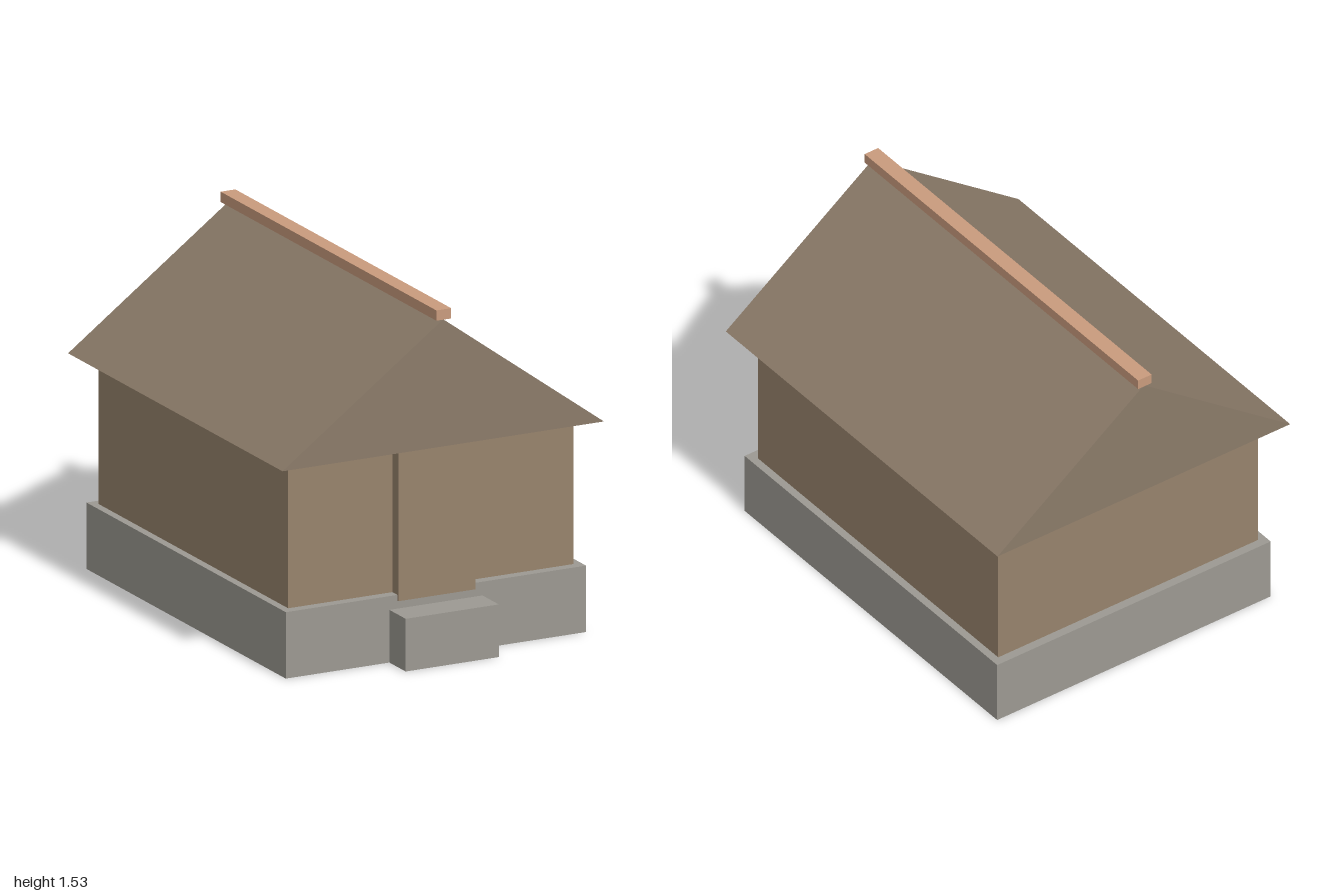
import * as THREE from 'three';

const material = (color) => new THREE.MeshStandardMaterial({ color, flatShading: true });
const stone = material(0x9c9992);
const timber = material(0x97836c);
const roofing = material(0x8b7b69);
const ridgeWood = material(0xc99b7d);

// Box centred on x = 0, given its width and its y and z ranges
function block(name, width, [y0, y1], [z0, z1], mat) {
  const mesh = new THREE.Mesh(new THREE.BoxGeometry(width, y1 - y0, z1 - z0), mat);
  mesh.position.set(0, (y0 + y1) / 2, (z0 + z1) / 2);
  mesh.name = name;
  return mesh;
}

// Solid triangular roof with overhanging eaves
function gableRoof() {
  const gable = new THREE.Shape([
    new THREE.Vector2(-0.76, 0.93),
    new THREE.Vector2(0.76, 0.93),
    new THREE.Vector2(0, 1.485),
  ]);
  const mesh = new THREE.Mesh(
    new THREE.ExtrudeGeometry(gable, { depth: 1.91, bevelEnabled: false }), roofing);
  mesh.position.z = -0.99;
  mesh.name = 'roof';
  return mesh;
}

export function createModel() {
  const house = new THREE.Group();
  house.name = 'house';
  house.add(
    block('foundation', 1.42, [0, 0.29], [-0.92, 0.855], stone),
    block('doorstep', 0.44, [0, 0.23], [0.8, 1], stone),
    block('walls', 1.35, [0.29, 0.93], [-0.88, 0.81], timber),
    block('door', 0.364, [0.265, 0.93], [0.8, 0.865], timber),
    gableRoof(),
    block('ridgeBeam', 0.07, [1.485, 1.53], [-0.997, 0.925], ridgeWood),
  );
  return house;
}
